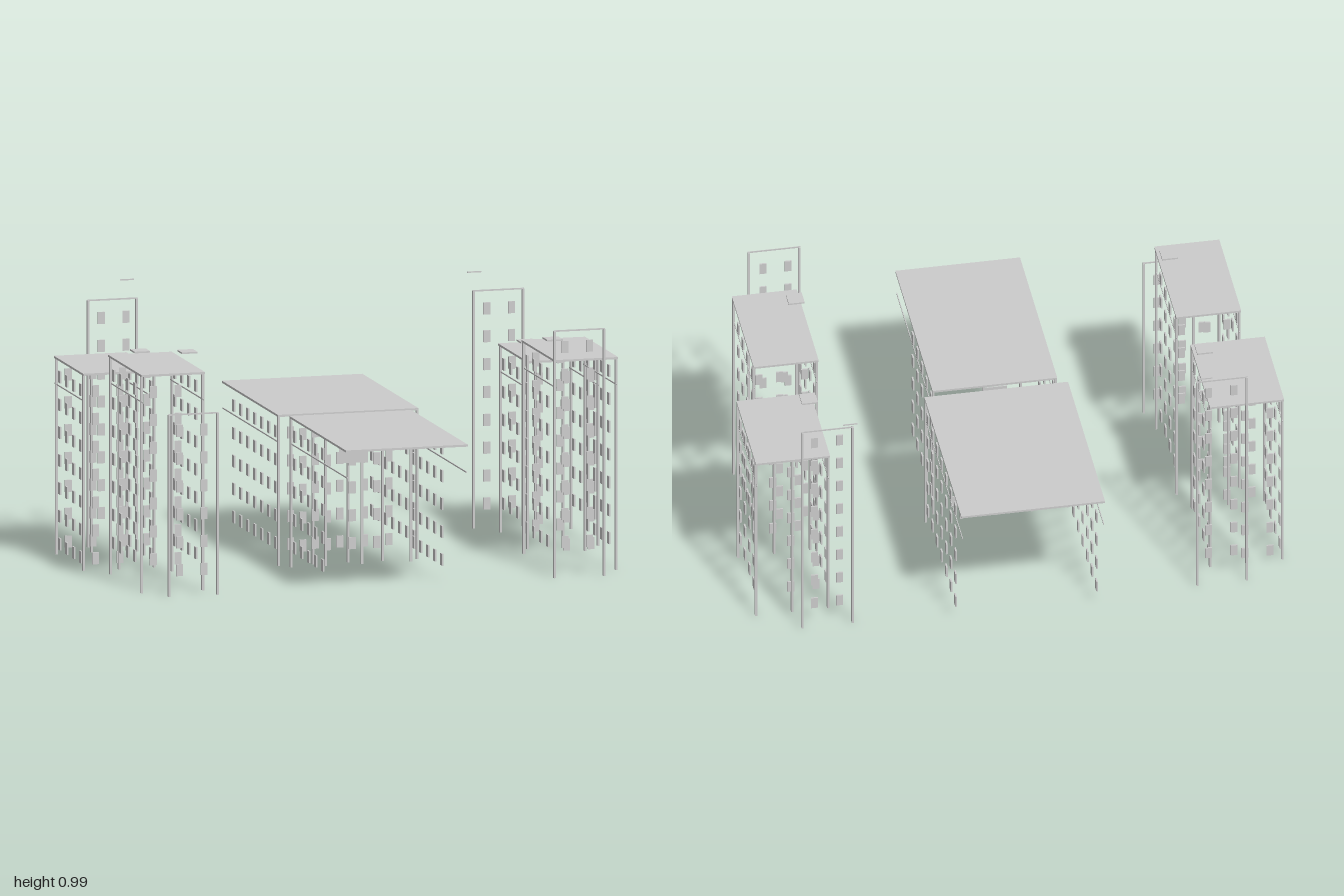
import * as THREE from 'three';

const mat = new THREE.MeshStandardMaterial({ color: 0xcccccc, flatShading: true });

function box(parent, name, w, h, d, x, y, z) {
  const m = new THREE.Mesh(new THREE.BoxGeometry(w, h, d), mat);
  m.name = name;
  m.position.set(x, y, z);
  parent.add(m);
  return m;
}

const STEP = 0.105, COL = 0.095;

// Rows of windows, counted down from the roof
function rows(h) {
  const out = [];
  for (let y = h - 0.065; y > 0.04; y -= STEP) out.push(y);
  return out;
}

// Windows on a face that looks along z
function endWindows(g, x0, cols, z, h) {
  for (const y of rows(h))
    for (let i = 0; i < cols; i++)
      box(g, 'endWindow', 0.026, 0.045, 0.006, x0 + 0.05 + i * COL, y, z);
}

// Windows on a face that looks along x; dir is the direction of the columns
function sideWindows(g, x, z0, dir, cols, h) {
  for (const y of rows(h))
    for (let i = 0; i < cols; i++)
      box(g, 'sideWindow', 0.006, 0.045, 0.026, x, y, z0 + dir * i * COL);
}

function posts(g, xs, z, h) {
  for (const x of xs) box(g, 'post', 0.008, h, 0.013, x, h / 2, z);
}

// Apartment block: roof, cornice strips, corner posts, windows, hatch plate
function block(name, s) {
  const g = new THREE.Group();
  g.name = name;
  const { x0, x1, z0, z1, h } = s;
  const cx = (x0 + x1) / 2, cz = (z0 + z1) / 2;
  box(g, 'roof', x1 - x0, 0.008, z1 - z0, cx, h, cz);
  for (const x of [x0 + 0.005, x1 - 0.005]) {
    box(g, 'sideStrip', 0.003, 0.005, z1 - z0, x, h - 0.1, cz);
    sideWindows(g, x, s.colZ, s.dir, s.sideCols, h);
  }
  for (const z of s.facades) {
    posts(g, s.postXs, z, h);
    endWindows(g, x0, s.endCols, z, h);
  }
  if (s.hatch) box(g, 'hatchPlate', 0.06, 0.006, 0.062, s.hatch[0], h + 0.06, s.hatch[1]);
  return g;
}

// Free-standing facade: two posts, a top bar and windows
function facade(name, x0, x1, z, winZ, h) {
  const g = new THREE.Group();
  g.name = name;
  posts(g, [x0 + 0.004, x1 - 0.004], z, h);
  box(g, 'topBar', x1 - x0, 0.006, 0.002, (x0 + x1) / 2, h, z);
  endWindows(g, x0, 2, winZ, h);
  return g;
}

export function createModel() {
  const model = new THREE.Group();
  model.name = 'housingEstate';

  // Two low halls in the middle, their facades facing each other
  model.add(block('backHall', {
    x0: -0.272, x1: 0.27, z0: -0.785, z1: -0.02, h: 0.565,
    colZ: -0.067, dir: -1, sideCols: 7, endCols: 5,
    facades: [-0.025], postXs: [-0.268, -0.135, 0, 0.133, 0.266],
  }));
  model.add(block('frontHall', {
    x0: -0.237, x1: 0.233, z0: 0.012, z1: 0.782, h: 0.565,
    colZ: 0.067, dir: 1, sideCols: 5, endCols: 4,
    facades: [0.02], postXs: [-0.233, -0.1, 0.04, 0.229],
  }));
  box(model, 'gatePanel', 0.09, 0.16, 0.004, -0.006, 0.465, 0.03);

  // Apartment blocks on both sides, the right-hand values differing a little
  for (const [side, ax, ah, bx, bh] of [
    ['right', -0.998, 0.74, -0.922, 0.82],
    ['left', 0.715, 0.705, 0.672, 0.8],
  ]) {
    const inner = side === 'right';
    model.add(block(side + 'BackBlock', {
      x0: ax, x1: ax + 0.28, z0: -0.51, z1: -0.108, h: ah,
      colZ: -0.162, dir: -1, sideCols: 4, endCols: 2,
      facades: [-0.118, -0.49], postXs: [ax + 0.004, ax + 0.14, ax + 0.276],
      hatch: [inner ? ax + 0.25 : ax + 0.028, -0.217],
    }));
    model.add(block(side + 'FrontBlock', {
      x0: bx, x1: bx + 0.245, z0: -0.038, z1: 0.416, h: bh,
      colZ: 0.021, dir: 1, sideCols: 4, endCols: 2,
      facades: [-0.02, 0.4], postXs: [bx + 0.004, bx + 0.241],
      hatch: [inner ? bx + 0.215 : bx + 0.03, 0.283],
    }));
  }

  // Tall free-standing facades at the four ends
  model.add(facade('rightBackFacade', -0.845, -0.65, -0.597, -0.58, 0.93));
  model.add(facade('rightFrontFacade', -0.845, -0.65, 0.507, 0.485, 0.685));
  model.add(facade('leftBackFacade', 0.642, 0.84, -0.597, -0.58, 0.895));
  model.add(facade('leftFrontFacade', 0.642, 0.84, 0.507, 0.485, 0.93));

  // Thin rails above the back facades
  box(model, 'rightRail', 0.055, 0.005, 0.002, -0.673, 0.99, -0.66);
  box(model, 'leftRail', 0.055, 0.005, 0.002, 0.667, 0.955, -0.66);

  return model;
}
